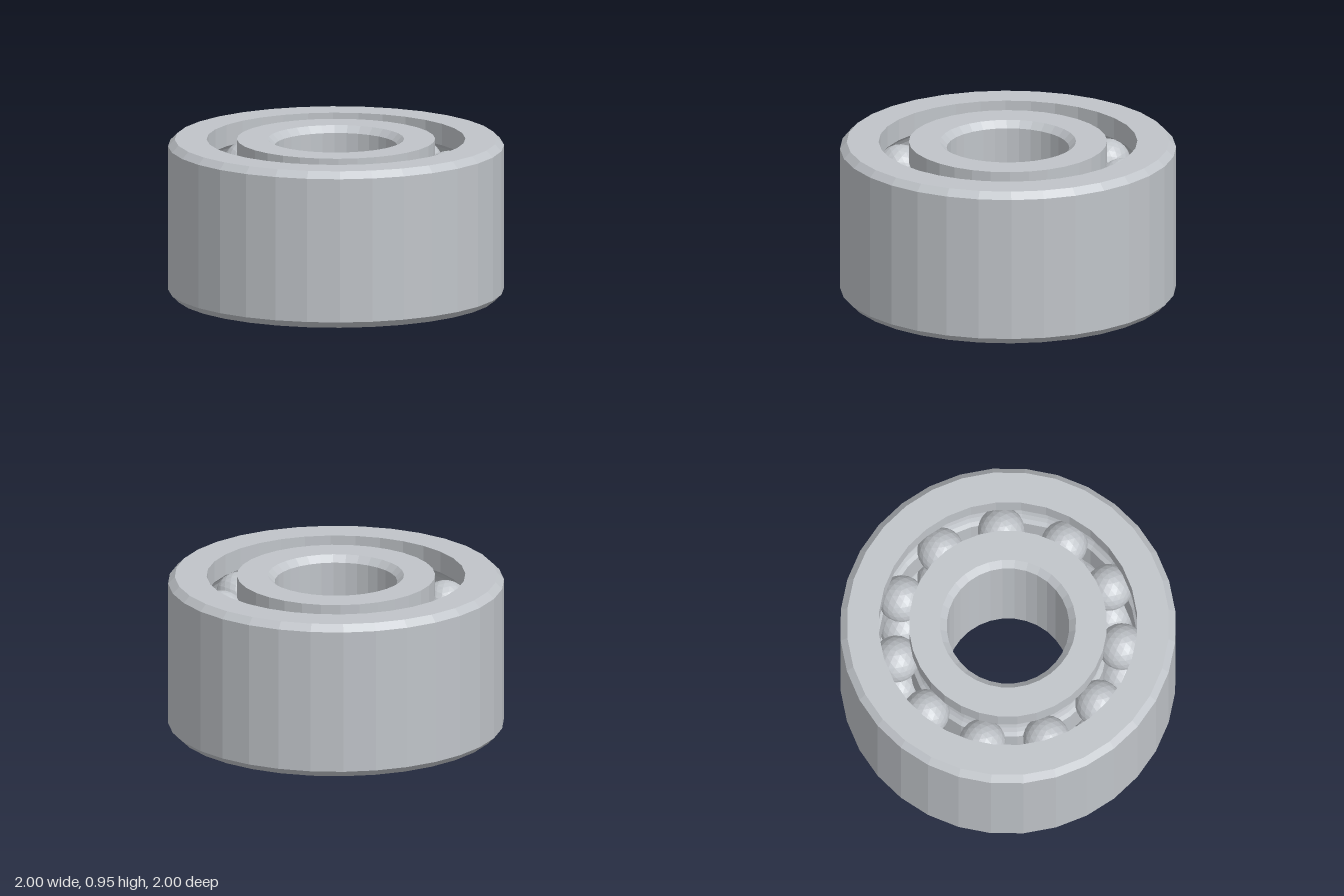
import * as THREE from 'three';

const SEGMENTS = 32;
const HEIGHT = 0.95;
const CHAMFER = 0.04;
const BALLS_PER_ROW = 11;
const BALL_RADIUS = 0.14;
const PITCH_RADIUS = 0.68;
const ROWS = [0.24, 0.71];

// One flat normal per face
function faceted(geometry) {
  const flat = geometry.index ? geometry.toNonIndexed() : geometry;
  flat.computeVertexNormals();
  return flat;
}

// Groove that the balls run in, cut into a wall at the given radius, listed upwards
function raceway(wallRadius, rowY) {
  const r = BALL_RADIUS + 0.002;
  const depth = wallRadius - PITCH_RADIUS;
  const half = Math.acos(Math.abs(depth) / r);
  const points = [];
  for (let i = 0; i <= 8; i++) {
    const a = -half + (2 * half * i) / 8;
    points.push([PITCH_RADIUS + Math.sign(depth) * r * Math.cos(a), rowY + r * Math.sin(a)]);
  }
  return points;
}

// Spin a closed profile, listed anticlockwise, into a ring
function ring(name, profile, material) {
  const points = [...profile, profile[0]].map(([x, y]) => new THREE.Vector2(x, y));
  const mesh = new THREE.Mesh(faceted(new THREE.LatheGeometry(points, SEGMENTS)), material);
  mesh.name = name;
  return mesh;
}

export function createModel() {
  const group = new THREE.Group();
  group.name = 'ballBearing';
  const steel = new THREE.MeshStandardMaterial({ color: 0xc0c4c9 });
  steel.name = 'steel';

  // Outer ring: chamfered outside, two grooves inside
  const outerWall = 0.77;
  group.add(ring('outerRing', [
    [outerWall, 0],
    [1 - CHAMFER, 0], [1, CHAMFER],
    [1, HEIGHT - CHAMFER], [1 - CHAMFER, HEIGHT],
    [outerWall, HEIGHT],
    ...ROWS.flatMap((y) => raceway(outerWall, y)).reverse(),
  ], steel));

  // Inner ring: two grooves outside, chamfered bore
  const innerWall = 0.59;
  const bore = 0.365;
  group.add(ring('innerRing', [
    [bore + CHAMFER, 0],
    [innerWall, 0],
    ...ROWS.flatMap((y) => raceway(innerWall, y)),
    [innerWall, HEIGHT],
    [bore + CHAMFER, HEIGHT],
    [bore, HEIGHT - CHAMFER], [bore, CHAMFER],
  ], steel));

  // Two rows of balls
  const ballGeometry = faceted(new THREE.IcosahedronGeometry(BALL_RADIUS, 3));
  ballGeometry.rotateZ(-Math.atan(2 / (1 + Math.sqrt(5))));
  ROWS.forEach((y, row) => {
    const balls = new THREE.Group();
    balls.name = row === 0 ? 'lowerBalls' : 'upperBalls';
    for (let i = 0; i < BALLS_PER_ROW; i++) {
      const a = (i / BALLS_PER_ROW) * Math.PI * 2;
      const ball = new THREE.Mesh(ballGeometry, steel);
      ball.name = 'ball';
      ball.position.set(PITCH_RADIUS * Math.cos(a), y, PITCH_RADIUS * Math.sin(a));
      balls.add(ball);
    }
    group.add(balls);
  });

  return group;
}
